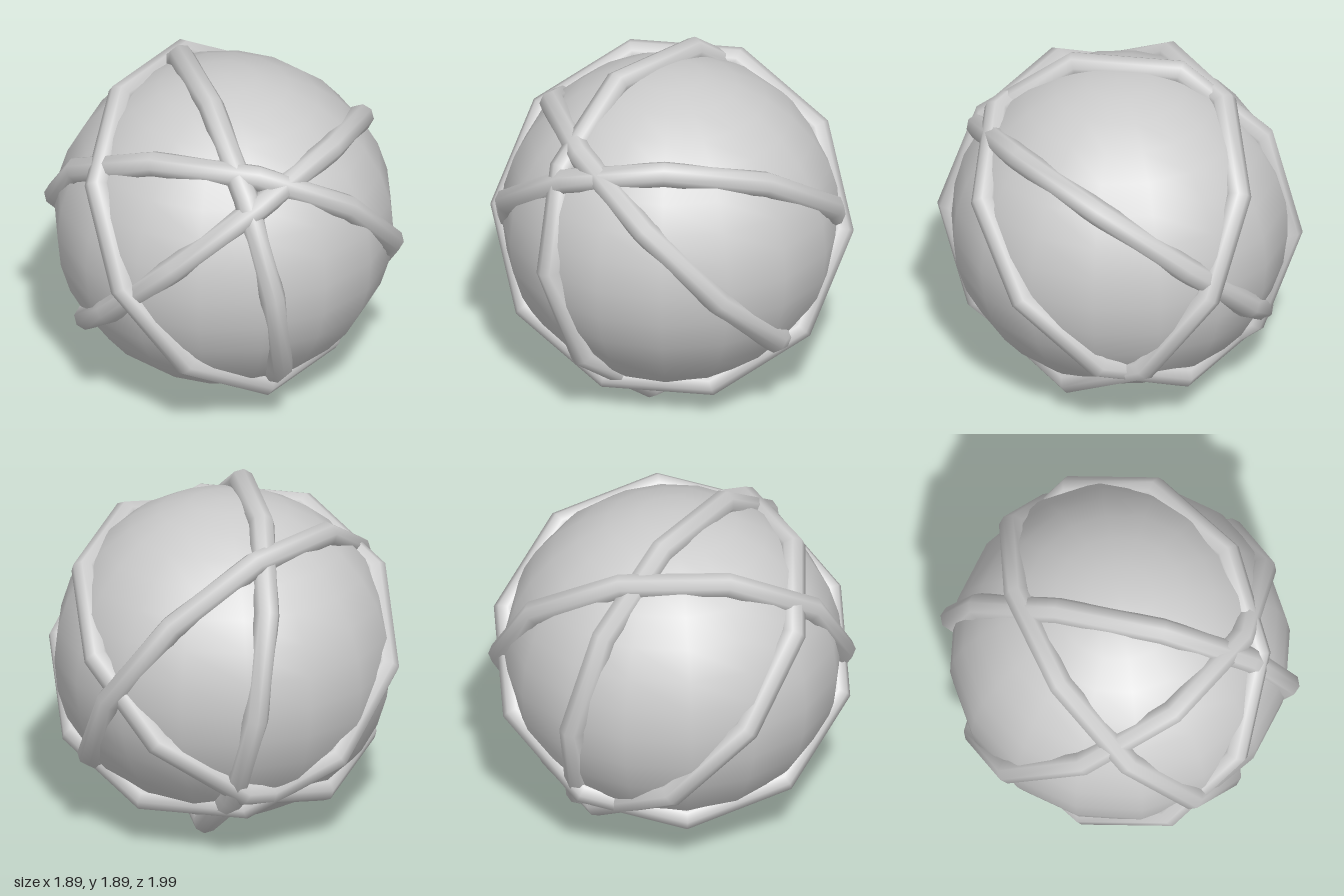
import * as THREE from 'three';

const CENTRE_Y = 0.945;
const material = new THREE.MeshStandardMaterial({ color: 0xcccccc });

// Ring around the ball: plane normal, and the direction of one of its ten corners
function makeRing(name, normal, corner) {
  const n = normal.clone().normalize();
  const y = new THREE.Vector3().crossVectors(n, corner).normalize();
  const x = new THREE.Vector3().crossVectors(y, n);
  const ring = new THREE.Mesh(new THREE.TorusGeometry(0.93, 0.071, 8, 10), material);
  ring.name = name;
  ring.quaternion.setFromRotationMatrix(new THREE.Matrix4().makeBasis(x, y, n));
  return ring;
}

export function createModel() {
  const model = new THREE.Group();
  model.name = 'bandedBall';
  const v = (x, y, z) => new THREE.Vector3(x, y, z);

  // Slightly flattened core
  const ball = new THREE.Mesh(new THREE.SphereGeometry(0.933, 16, 16), material);
  ball.name = 'ball';
  ball.scale.y = 0.966;
  ball.position.y = CENTRE_Y;
  model.add(ball);

  // Four bands wrapped in different planes
  const steep = v(0.83, 0.55, 0.075);
  const rising = v(-0.688, 0.725, 0.012);
  const upright = v(0.66, 0.17, -0.73);
  const leaning = v(-0.22, 0.68, -0.70);
  const bands = [
    ['steepBand', steep, v(-0.09, 0, 1)],
    ['risingBand', rising, v(0.725, 0.688, 0)],
    // these two have a straight side, not a corner, at the top and at the right
    ['uprightBand', upright, upright.clone().cross(v(-0.14, 0.97, 0.12))],
    ['leaningBand', leaning, leaning.clone().cross(v(-0.92, -0.18, 0.11))],
  ];
  for (const [name, normal, corner] of bands) {
    const ring = makeRing(name, normal, corner);
    ring.position.y = CENTRE_Y;
    model.add(ring);
  }
  return model;
}
